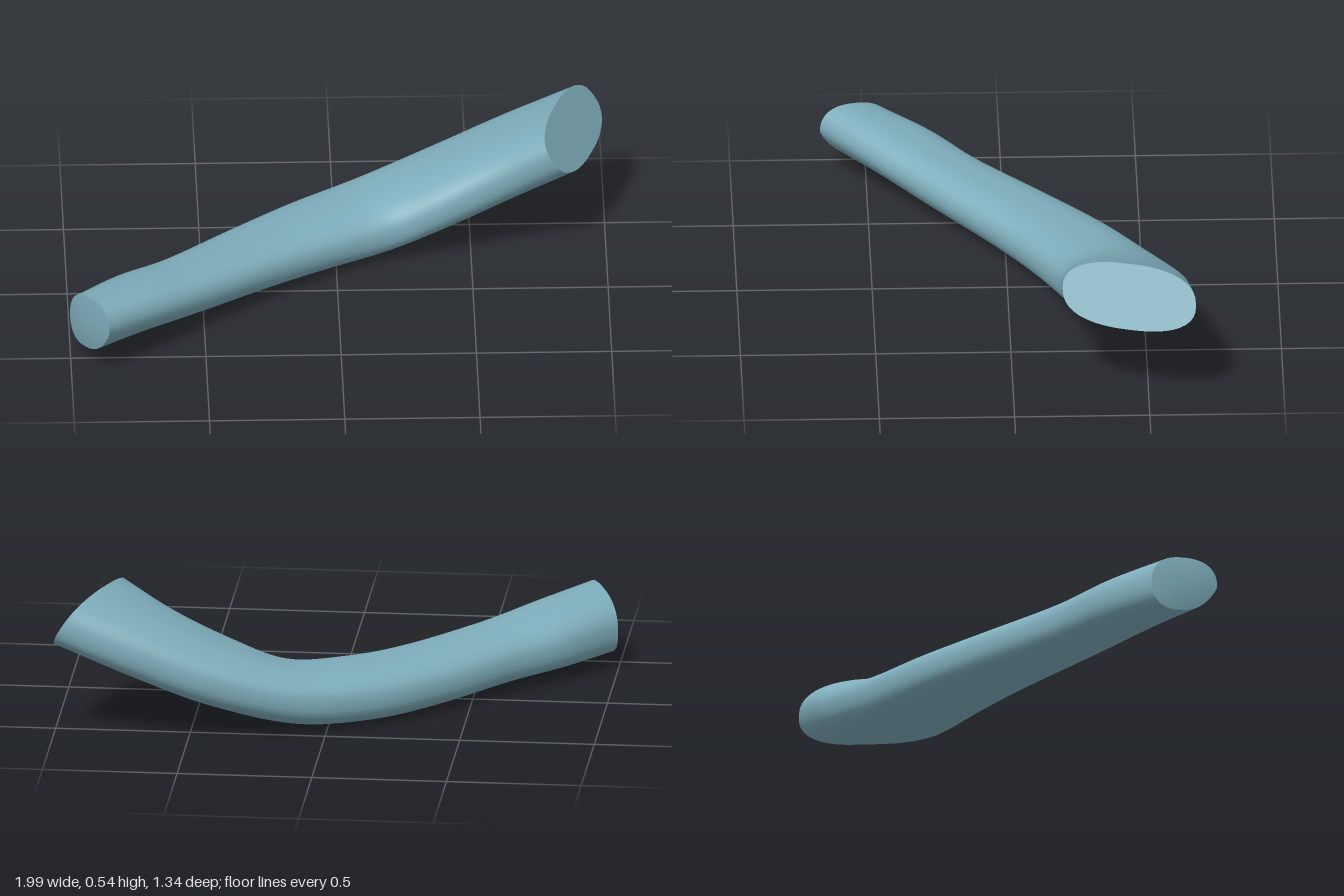
import * as THREE from 'three';

// Stations along the bar: back edge, front edge, [lean x, half thickness, underside skew]
const STATIONS = [
  [[-1.0, 0.15, 0.41], [-0.86, 0.20, 0.67], [0, 0.108, 0.4]],
  [[-0.84, 0.14, 0.23], [-0.68, 0.175, 0.5], [0, 0.105, 0.35]],
  [[-0.66, 0.125, 0.07], [-0.47, 0.145, 0.3], [0, 0.098, 0.2]],
  [[-0.42, 0.11, -0.18], [-0.2, 0.12, 0.06], [0, 0.1, 0.1]],
  [[-0.19, 0.11, -0.38], [0.0, 0.115, -0.08], [0, 0.105, 0.05]],
  [[0.08, 0.135, -0.535], [0.2, 0.13, -0.18], [-0.01, 0.107, 0]],
  [[0.4, 0.225, -0.63], [0.38, 0.205, -0.2], [-0.03, 0.108, 0]],
  [[0.68, 0.335, -0.663], [0.6, 0.315, -0.214], [-0.05, 0.106, 0]],
  [[0.965, 0.45, -0.672], [0.8, 0.435, -0.183], [-0.065, 0.104, 0]],
];
const STEPS = 64;
const SIDES = 40;

const curve = (k) =>
  new THREE.CatmullRomCurve3(STATIONS.map((s) => new THREE.Vector3(...s[k])), false, 'catmullrom', 0.5);

// Rounded, slightly boxy cross-section at t along the bar
function makeRing(t, back, front, shape) {
  const b = back.getPoint(t), f = front.getPoint(t), s = shape.getPoint(t);
  const centre = b.clone().add(f).multiplyScalar(0.5);
  const across = f.clone().sub(b).multiplyScalar(0.5);
  const up = new THREE.Vector3(s.x, s.y, 0);
  const soft = (v) => Math.sign(v) * Math.abs(v) ** 0.82;
  return Array.from({ length: SIDES }, (_, j) => {
    const a = (j / SIDES) * Math.PI * 2;
    const u = soft(Math.sin(a));
    const w = soft(Math.cos(a)) - s.z * Math.max(0, -u) * (1 + Math.cos(a)) * 0.5;
    return centre.clone().addScaledVector(across, w).addScaledVector(up, u);
  });
}

function toGeometry(points, index) {
  const g = new THREE.BufferGeometry().setFromPoints(points);
  g.setIndex(index);
  g.computeVertexNormals();
  return g;
}

// Fan over an end ring, with its middle pushed out a little
function makeCap(ring, push, flip) {
  const mid = new THREE.Vector3();
  ring.forEach((p) => mid.addScaledVector(p, 1 / SIDES));
  mid.add(push);
  const index = [];
  for (let j = 0; j < SIDES; j++) {
    const k = (j + 1) % SIDES;
    index.push(SIDES, flip ? k : j, flip ? j : k);
  }
  return toGeometry([...ring, mid], index);
}

export function createModel() {
  const group = new THREE.Group();
  group.name = 'curvedBar';
  const material = new THREE.MeshStandardMaterial({ color: 0x7eadbb });
  material.name = 'dusty blue';
  const add = (name, geometry) => {
    const mesh = new THREE.Mesh(geometry, material);
    mesh.name = name;
    group.add(mesh);
  };

  const back = curve(0), front = curve(1), shape = curve(2);
  const rings = [];
  for (let i = 0; i <= STEPS; i++) rings.push(makeRing(i / STEPS, back, front, shape));

  // Smooth side surface
  const index = [];
  for (let i = 0; i < STEPS; i++) {
    for (let j = 0; j < SIDES; j++) {
      const k = (j + 1) % SIDES;
      const a = i * SIDES + j, b = i * SIDES + k;
      index.push(a, a + SIDES, b, b, a + SIDES, b + SIDES);
    }
  }
  add('body', toGeometry(rings.flat(), index));

  // Cut ends
  add('narrowEnd', makeCap(rings[0], new THREE.Vector3(-0.02, 0, 0.012), false));
  add('wideEnd', makeCap(rings[STEPS], new THREE.Vector3(), true));
  return group;
}
